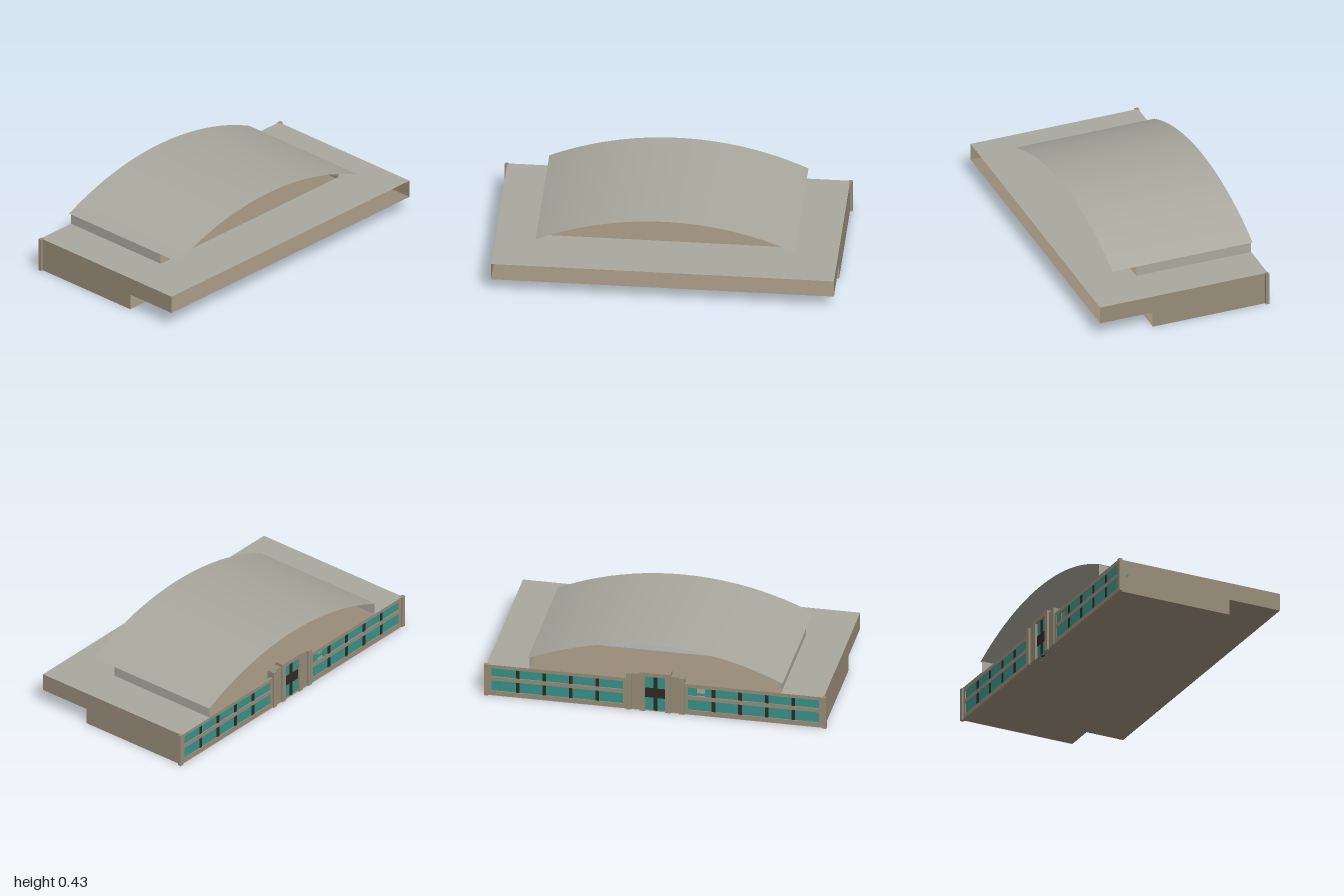
import * as THREE from 'three';

const mat = (name, color, side = THREE.FrontSide) => {
  const m = new THREE.MeshStandardMaterial({ color, side });
  m.name = name;
  return m;
};

export function createModel() {
  const model = new THREE.Group();
  model.name = 'hall';
  const roofGrey = mat('roof grey', 0xa9a89e, THREE.DoubleSide);
  const wallOlive = mat('wall olive', 0x978c78, THREE.DoubleSide);
  const glassTeal = mat('glass teal', 0x35938a);
  const frameDark = mat('frame dark', 0x2e2a24);

  const add = (name, geometry, material, parent = model) => {
    const mesh = new THREE.Mesh(geometry, material);
    mesh.name = name;
    parent.add(mesh);
    return mesh;
  };
  // Box given by its limits on each axis
  const box = (name, material, x0, x1, y0, y1, z0, z1, parent) => {
    const g = new THREE.BoxGeometry(x1 - x0, y1 - y0, z1 - z0);
    g.translate((x0 + x1) / 2, (y0 + y1) / 2, (z0 + z1) / 2);
    return add(name, g, material, parent);
  };
  const polygon = (pts) => new THREE.Shape(pts.map(([a, b]) => new THREE.Vector2(a, b)));

  const W = 0.985, BACK = -0.515, STEP = 0.195, FRONT = 0.52, DECK = 0.2;
  const VAULT = 0.745, EAVE = 0.267, RISE = 0.166;

  // Thin floors: main floor and the raised floor of the front overhang
  const floor = (name, y, z0, z1) => {
    const g = new THREE.PlaneGeometry(2 * W, z1 - z0);
    g.rotateX(Math.PI / 2);
    g.translate(0, y, (z0 + z1) / 2);
    add(name, g, wallOlive);
  };
  floor('mainFloor', 0.002, BACK, STEP);
  floor('overhangFloor', 0.095, STEP, FRONT);

  // Stepped side walls, drawn in (z, y)
  const sideShape = polygon([[BACK, 0], [STEP, 0], [STEP, 0.095], [FRONT, 0.095], [FRONT, DECK], [BACK, DECK]]);
  for (const s of [-1, 1]) {
    const g = new THREE.ShapeGeometry(sideShape);
    g.rotateY(-Math.PI / 2);
    if (s > 0) g.scale(-1, 1, 1).rotateY(0);
    g.translate(s * W, 0, 0);
    // Keep the outer side of each wall as its front
    if (s > 0) {
      const idx = Array.from(g.index.array).reverse();
      g.setIndex(idx);
    }
    g.computeVertexNormals();
    add(s > 0 ? 'leftWall' : 'rightWall', g, wallOlive);
  }

  // Flat roof deck, open beneath the vault; drawn in (x, -z)
  const deck = new THREE.ShapeGeometry(polygon([
    [-W, -FRONT], [W, -FRONT], [W, -BACK], [VAULT - 0.01, -BACK], [VAULT - 0.01, -STEP],
    [-VAULT + 0.01, -STEP], [-VAULT + 0.01, -BACK], [-W, -BACK],
  ]));
  deck.rotateX(-Math.PI / 2);
  deck.translate(0, DECK, 0);
  add('roofDeck', deck, roofGrey);

  // Low walls carrying the vault
  for (const s of [-1, 1]) {
    const g = new THREE.PlaneGeometry(STEP - BACK, EAVE + 0.002 - DECK);
    g.rotateY(s * Math.PI / 2);
    g.translate(s * (VAULT - 0.01), (DECK + EAVE + 0.002) / 2, (STEP + BACK) / 2);
    add('vaultSupport', g, roofGrey);
  }

  // Shallow barrel vault: a thin plane bent to a circular arc
  const Z0 = -0.52, Z1 = 0.345;
  const R = (VAULT * VAULT + RISE * RISE) / (2 * RISE);
  const half = Math.asin(VAULT / R);
  const vault = new THREE.PlaneGeometry(2, Z1 - Z0, 24, 1);
  vault.rotateX(-Math.PI / 2);
  const p = vault.attributes.position;
  for (let i = 0; i < p.count; i++) {
    const a = p.getX(i) * half;
    p.setXYZ(i, R * Math.sin(a), EAVE + RISE - R + R * Math.cos(a), p.getZ(i) + (Z0 + Z1) / 2);
  }
  vault.computeVertexNormals();
  add('vaultRoof', vault, roofGrey);

  // Rear facade: one window wing on each side
  const rows = [[0.03, 0.097], [0.122, 0.176]];
  const X0 = 0.19, X1 = 0.957;
  for (const s of [-1, 1]) {
    const wing = new THREE.Group();
    wing.name = s > 0 ? 'leftWindowWing' : 'rightWindowWing';
    model.add(wing);
    const span = (name, m, a, b, y0, y1, z0, z1) =>
      box(name, m, Math.min(s * a, s * b), Math.max(s * a, s * b), y0, y1, z0, z1, wing);

    // Wall with window openings
    const shape = polygon([[0.17, 0], [W, 0], [W, DECK - 0.002], [0.17, DECK - 0.002]].map(([x, y]) => [s * x, y]));
    for (const [y0, y1] of rows) {
      shape.holes.push(polygon([[X0, y0], [X0, y1], [X1, y1], [X1, y0]].map(([x, y]) => [s * x, y])));
    }
    const wall = new THREE.ExtrudeGeometry(shape, { depth: 0.015, bevelEnabled: false });
    wall.translate(0, 0, -0.511);
    add('windowWall', wall, wallOlive, wing);

    // Glass strips, with one pane left open, and dark mullions
    rows.forEach(([y0, y1], r) => {
      if (s < 0 && r === 1) {
        span('glass', glassTeal, X0, 0.24, y0, y1, -0.505, -0.499);
        span('glass', glassTeal, 0.29, X1, y0, y1, -0.505, -0.499);
      } else {
        span('glass', glassTeal, X0, X1, y0, y1, -0.505, -0.499);
      }
      for (const x of [0.34, 0.495, 0.65, 0.805]) {
        span('mullion', frameDark, x - 0.011, x + 0.011, y0, y1, -0.508, -0.494);
      }
    });

    // Corner fin
    span('cornerFin', wallOlive, W - 0.008, 1, 0, DECK + 0.001, -0.52, -0.5);

    // Stepped pillars beside the entrance
    span('entranceWall', wallOlive, 0.09, 0.17, 0, 0.233, -0.508, -0.475);
    span('entrancePillar', wallOlive, 0.14, 0.17, 0, 0.233, -0.52, -0.475);
    span('doorJamb', wallOlive, 0.06, 0.09, 0, 0.25, -0.52, -0.465);
  }

  // Inner beam along the middle of the facade
  box('innerBeam', glassTeal, -W, W, 0.1, 0.116, -0.465, -0.455);

  // Entrance bay
  const entrance = new THREE.Group();
  entrance.name = 'entrance';
  model.add(entrance);
  box('lintel', wallOlive, -0.06, 0.06, 0.226, 0.25, -0.52, -0.465, entrance);
  box('doorGlass', glassTeal, -0.06, 0.06, 0, 0.226, -0.503, -0.497, entrance);
  box('doorMullion', frameDark, -0.011, 0.011, 0, 0.226, -0.508, -0.492, entrance);
  box('doorBand', frameDark, -0.06, 0.06, 0.085, 0.145, -0.507, -0.493, entrance);

  return model;
}
